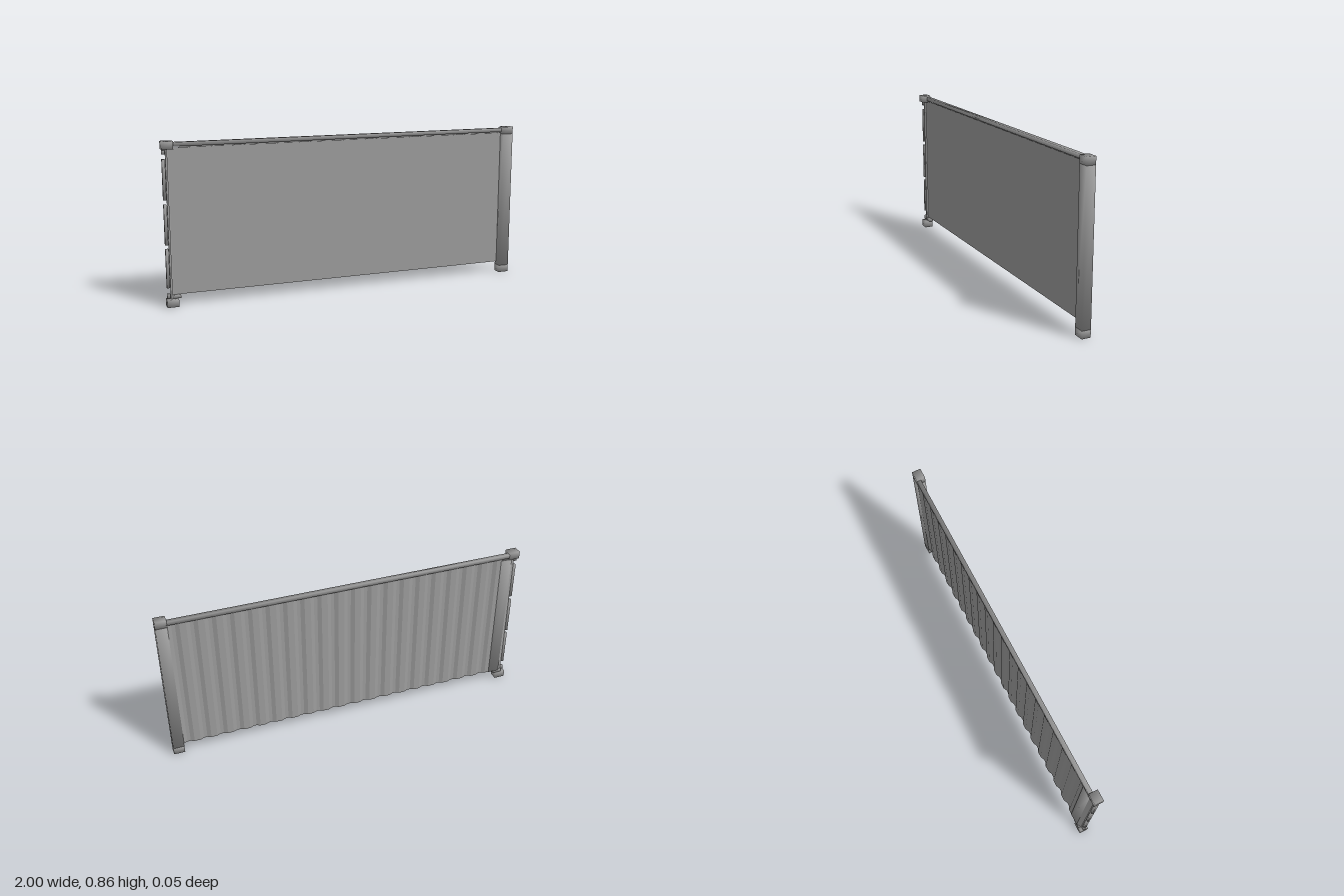
import * as THREE from 'three';

const material = new THREE.MeshStandardMaterial({ color: 0x9d9d9d });

export function createModel() {
  const group = new THREE.Group();

  const add = (name, geometry) => {
    const mesh = new THREE.Mesh(geometry, material);
    mesh.name = name;
    group.add(mesh);
  };
  // box given by its lower and upper bounds on each axis
  const boxGeometry = ([x0, x1], [y0, y1], [z0, z1]) =>
    new THREE.BoxGeometry(x1 - x0, y1 - y0, z1 - z0);
  const centre = (...ranges) => ranges.map(([a, b]) => (a + b) / 2);
  const box = (name, ...ranges) => add(name, boxGeometry(...ranges).translate(...centre(...ranges)));
  // box whose faces share normals at the corners, shaded softly across its edges
  const softBox = (name, ...ranges) => {
    const g = boxGeometry(...ranges);
    const p = g.attributes.position, n = g.attributes.normal, s = Math.sqrt(1 / 3);
    for (let i = 0; i < p.count; i++) {
      n.setXYZ(i, s * Math.sign(p.getX(i)), s * Math.sign(p.getY(i)), s * Math.sign(p.getZ(i)));
    }
    add(name, g.translate(...centre(...ranges)));
  };
  // upright prism with an [x, z] outline
  const prism = (name, outline, y0, y1) => {
    const shape = new THREE.Shape(outline.map(([x, z]) => new THREE.Vector2(x, -z)));
    const g = new THREE.ExtrudeGeometry(shape, { depth: y1 - y0, bevelEnabled: false });
    add(name, g.rotateX(-Math.PI / 2).translate(0, y0, 0));
  };

  // corner blocks at the four ends of the posts
  for (const x of [[-1, -0.94], [0.94, 1]]) {
    softBox('cornerBlockBottom', x, [0, 0.04], [-0.024, 0.024]);
    softBox('cornerBlockTop', x, [0.815, 0.855], [-0.024, 0.024]);
  }

  // full post on the left
  softBox('leftPost', [0.94, 1], [0.04, 0.815], [-0.024, 0.024]);

  // folded post on the right: flat back flange, slanted return and small foot
  softBox('rightPostFlange', [-0.955, -0.892], [0.056, 0.815], [-0.0235, -0.016]);
  prism('rightPostReturn', [
    [-0.955, -0.023], [-0.978, -0.008], [-0.978, 0.004],
    [-0.968, 0.004], [-0.968, -0.006], [-0.952, -0.016],
  ], 0.04, 0.815);
  softBox('postFoot', [-0.975, -0.925], [0.04, 0.058], [-0.022, 0.002]);

  // segmented hinge strip along the right edge
  for (const y of [[0.045, 0.068], [0.1, 0.305], [0.325, 0.535], [0.558, 0.765], [0.79, 0.81]]) {
    softBox('hingeSegment', [-0.997, -0.981], y, [-0.005, 0.009]);
  }

  // top rail
  softBox('topRail', [-0.945, 0.945], [0.826, 0.847], [-0.024, -0.001]);

  // corrugated outer sheet: a repeated trapezoid wave with a small thickness
  const count = 20, start = -0.9, end = 0.94, pitch = (end - start) / count;
  const outer = -0.022, inner = -0.0125, wave = [];
  for (let i = 0; i < count; i++) {
    const x = start + i * pitch;
    wave.push([x, outer], [x + pitch * 0.36, outer], [x + pitch * 0.58, inner], [x + pitch * 0.78, inner]);
  }
  wave.push([end, outer]);
  const back = wave.map(([x, z]) => [x, z + 0.0012]).reverse();
  prism('corrugatedSheet', [...wave, ...back], 0.058, 0.826);

  // flat lining on the inside
  box('liningPanel', [-0.965, 0.91], [0.058, 0.82], [-0.0112, -0.0095]);
  box('liningEdge', [0.91, 0.942], [0.058, 0.82], [-0.0125, -0.0105]);

  return group;
}
